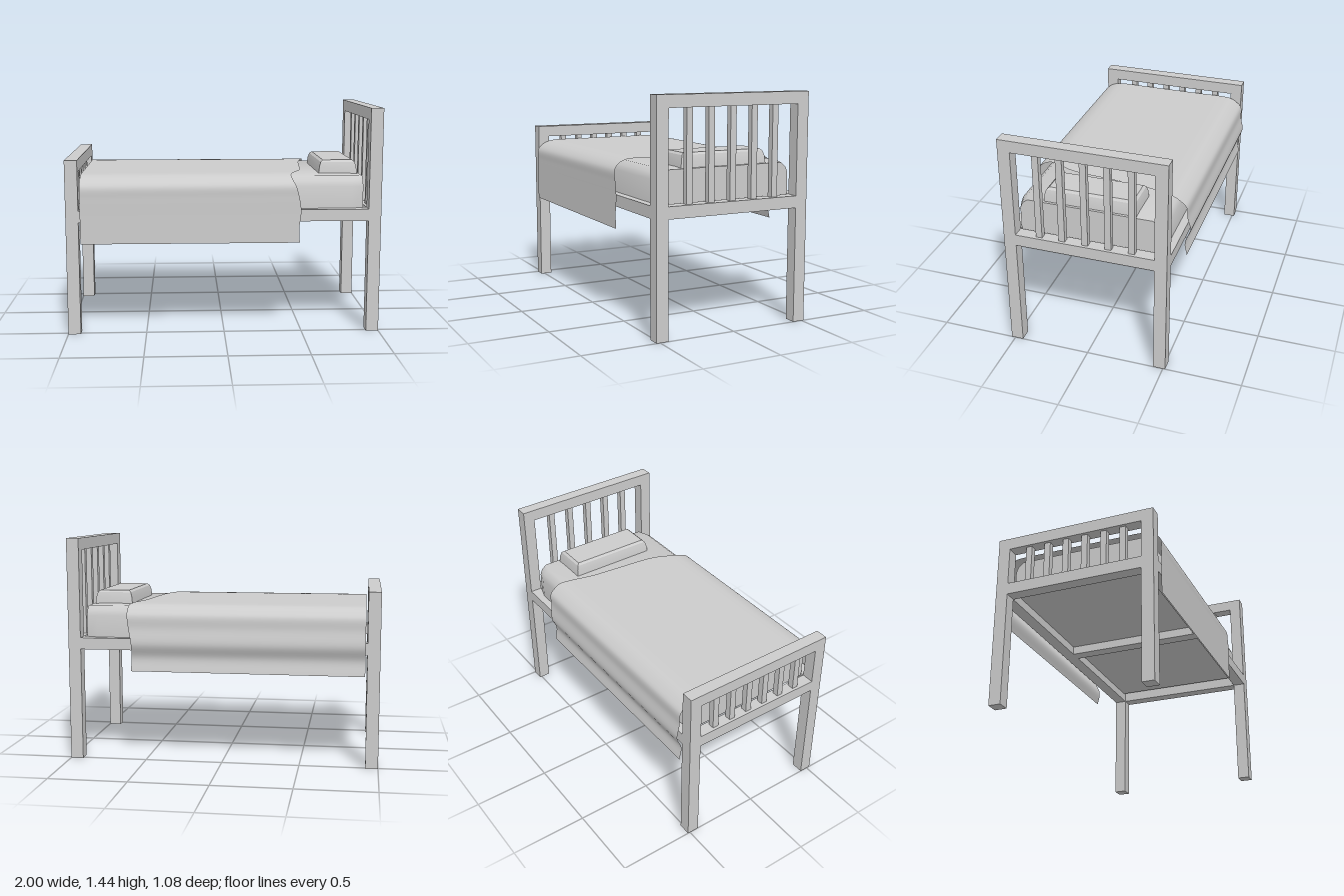
import * as THREE from 'three';
import { toCreasedNormals } from 'three/addons/utils/BufferGeometryUtils.js';

const material = new THREE.MeshStandardMaterial({ color: 0xcccccc });
const sheetMaterial = new THREE.MeshStandardMaterial({ color: 0xcccccc, side: THREE.DoubleSide });

const Z_MIN = -0.515, Z_MAX = 0.525, BEAM = 0.078;

// Box given by its minimum and maximum corners
function box(parent, name, x0, x1, y0, y1, z0, z1) {
  const mesh = new THREE.Mesh(new THREE.BoxGeometry(x1 - x0, y1 - y0, z1 - z0), material);
  mesh.position.set((x0 + x1) / 2, (y0 + y1) / 2, (z0 + z1) / 2);
  mesh.name = name;
  parent.add(mesh);
}

// Closed solid through rings of [x, y, z] points, capped at both ends
function loft(rings, crease) {
  const n = rings[0].length, last = (rings.length - 1) * n, index = [];
  for (let i = 0; i < rings.length - 1; i++) {
    for (let j = 0; j < n; j++) {
      const a = i * n + j, b = i * n + (j + 1) % n;
      index.push(a, b, a + n, b, b + n, a + n);
    }
  }
  for (let j = 1; j < n - 1; j++) {
    index.push(0, j + 1, j, last, last + j, last + j + 1);
  }
  const geometry = new THREE.BufferGeometry();
  geometry.setAttribute('position', new THREE.Float32BufferAttribute(rings.flat(2), 3));
  geometry.setIndex(index);
  return toCreasedNormals(geometry, crease);
}

// Two posts, top and bottom rails and evenly spaced slats
function endBoard(name, x0, height, slats, slatWidth) {
  const board = new THREE.Group();
  board.name = name;
  const x1 = x0 + 0.08, zIn0 = Z_MIN + BEAM, zIn1 = Z_MAX - BEAM;
  box(board, 'post', x0, x1, 0, height, Z_MIN, zIn0);
  box(board, 'post', x0, x1, 0, height, zIn1, Z_MAX);
  box(board, 'topRail', x0, x1, height - 0.076, height, zIn0, zIn1);
  box(board, 'bottomRail', x0, x1, 0.725, 0.8, zIn0, zIn1);
  for (let i = 1; i <= slats; i++) {
    const z = zIn0 + (zIn1 - zIn0) * i / (slats + 1);
    box(board, 'slat', x0 + 0.02, x1 - 0.02, 0.8, height - 0.076, z - slatWidth / 2, z + slatWidth / 2);
  }
  return board;
}

function mattress() {
  // Half section [z, y], mirrored across the bed
  const half = [[0.47, 0.78], [0.47, 0.94], [0.455, 0.975], [0.42, 1.003]];
  const section = [...half.map(([z, y]) => [-z, y]), ...half.slice().reverse()];
  const stations = [[-0.895, 0.95, 0.99], [-0.82, 1, 1], [0.82, 1, 1], [0.895, 0.95, 0.995]];
  const rings = stations.map(([x, sz, sy]) =>
    section.map(([z, y]) => [x, y > 0.8 ? y * sy : y, z * sz + 0.005]));
  const mesh = new THREE.Mesh(loft(rings, 0.75), material);
  mesh.name = 'mattress';
  return mesh;
}

function pillow() {
  // Height and inset of each level
  const levels = [[0.99, 0], [1.045, 0.006], [1.075, 0.015], [1.088, 0.03]];
  const rings = levels.map(([y, d]) => {
    const x0 = 0.627 + d, x1 = 0.88 - d, z0 = -0.29 + d, z1 = 0.302 - d;
    return [[x1, y, z1], [x1, y, z0], [x0, y, z0], [x0, y, z1]];
  });
  const mesh = new THREE.Mesh(loft(rings, 0.5), material);
  mesh.name = 'pillow';
  return mesh;
}

function blanket() {
  // Uneven head-end hem [x, y, z], running over the bed from back to front
  const hem = [
    [0.585, 0.59, -0.525], [0.585, 0.68, -0.51], [0.58, 0.77, -0.543], [0.6, 0.87, -0.527],
    [0.61, 0.95, -0.522], [0.612, 0.985, -0.49], [0.61, 1.013, -0.44], [0.595, 1.02, -0.38],
    [0.555, 1.02, -0.2], [0.535, 1.02, 0], [0.505, 1.02, 0.26], [0.45, 1.02, 0.39],
    [0.43, 1.013, 0.445], [0.435, 0.99, 0.5], [0.455, 0.95, 0.537], [0.475, 0.88, 0.54],
    [0.487, 0.79, 0.54], [0.475, 0.68, 0.54], [0.48, 0.59, 0.54],
  ].map((p) => new THREE.Vector3(...p));
  const points = new THREE.CatmullRomCurve3(hem).getPoints(90);
  const position = [], index = [];
  points.forEach((p, i) => {
    position.push(-0.908, p.y, p.z, p.x, p.y, p.z);
    if (i) {
      const a = 2 * (i - 1);
      index.push(a, a + 2, a + 1, a + 1, a + 2, a + 3);
    }
  });
  const geometry = new THREE.BufferGeometry();
  geometry.setAttribute('position', new THREE.Float32BufferAttribute(position, 3));
  geometry.setIndex(index);
  geometry.computeVertexNormals();
  const mesh = new THREE.Mesh(geometry, sheetMaterial);
  mesh.name = 'blanket';
  return mesh;
}

export function createModel() {
  const bed = new THREE.Group();
  bed.name = 'bed';

  // End boards
  bed.add(endBoard('headboard', 0.92, 1.44, 5, 0.04));
  bed.add(endBoard('footboard', -1, 1.12, 6, 0.04));

  // Side rails and the middle cross beam
  box(bed, 'sideRail', -0.92, 0.92, 0.725, 0.8, Z_MIN, Z_MIN + BEAM);
  box(bed, 'sideRail', -0.92, 0.92, 0.725, 0.8, Z_MAX - BEAM, Z_MAX);
  box(bed, 'crossBeam', -0.04, 0.04, 0.725, 0.8, Z_MIN + BEAM, Z_MAX - BEAM);

  // Bedding
  bed.add(mattress(), pillow(), blanket());
  return bed;
}
